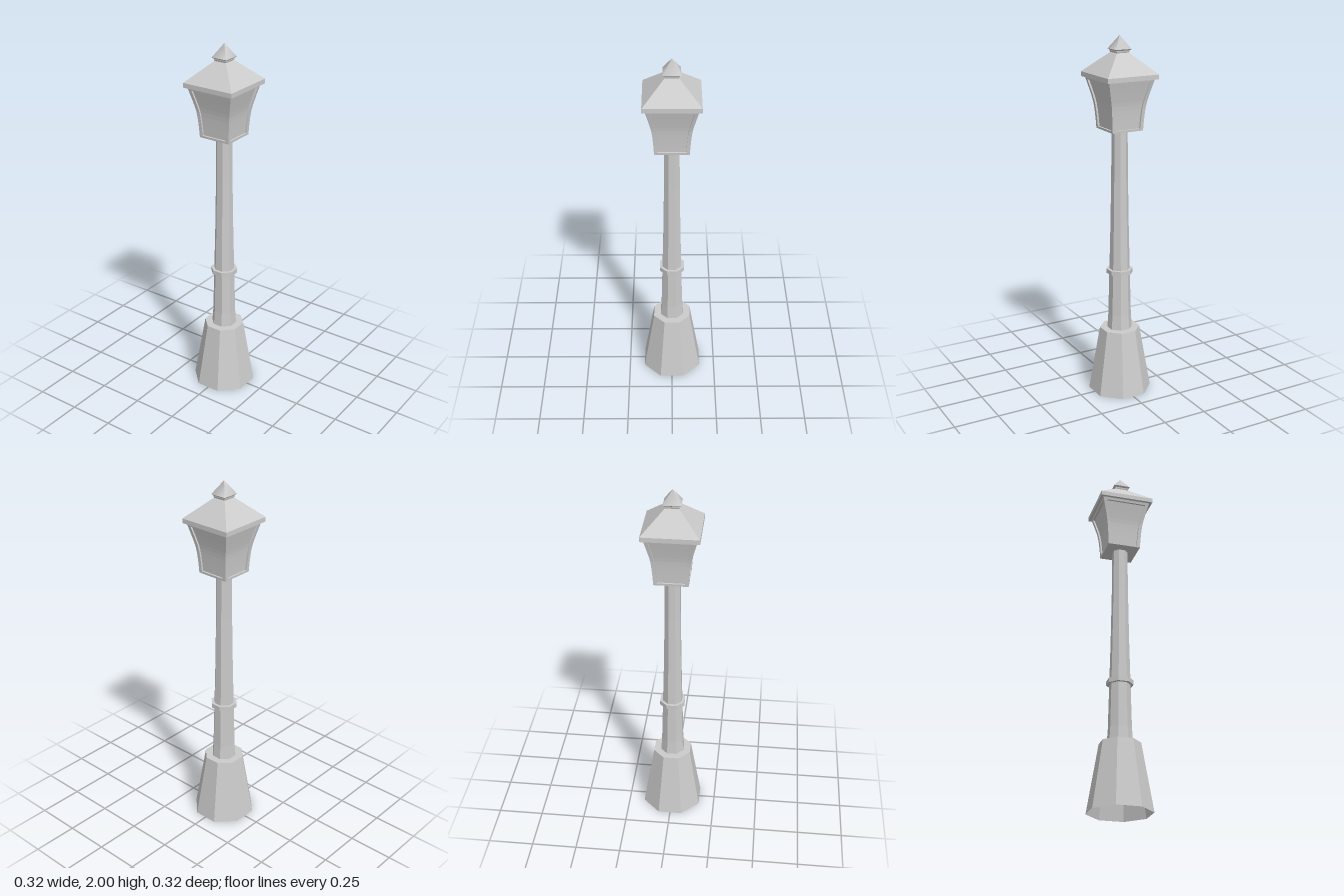
import * as THREE from 'three';

const flat = new THREE.MeshStandardMaterial({ color: 0xcccccc, flatShading: true });
const shell = new THREE.MeshStandardMaterial({ color: 0xcccccc, flatShading: true, side: THREE.DoubleSide });
const smooth = new THREE.MeshStandardMaterial({ color: 0xcccccc });

// Prism of n sides from [half width, height] pairs listed bottom to top, a flat side facing front
function prism(name, n, profile, material = flat) {
  const k = 1 / Math.cos(Math.PI / n);
  const points = profile.map(([w, y]) => new THREE.Vector2(w * k, y));
  const mesh = new THREE.Mesh(new THREE.LatheGeometry(points, n, Math.PI / n), material);
  mesh.name = name;
  return mesh;
}

// Flared side of the lantern: half width and height, bottom to top
const flare = new THREE.CatmullRomCurve3(
  [[0.091, 1.505], [0.096, 1.58], [0.103, 1.645], [0.115, 1.7], [0.135, 1.778]]
    .map(([w, y]) => new THREE.Vector3(w, y, 0))
).getPoints(10).map(p => [p.x, p.y]);

// Square bar following the flare along the +x +z corner
function cornerBar() {
  const g = new THREE.BoxGeometry(1, 1, 1, 1, flare.length - 1, 1);
  const pos = g.attributes.position;
  for (let i = 0; i < pos.count; i++) {
    const [w, y] = flare[Math.round((pos.getY(i) + 0.5) * (flare.length - 1))];
    const x = pos.getX(i) > 0 ? w : w - 0.019;
    const z = pos.getZ(i) > 0 ? w : w - 0.019;
    pos.setXYZ(i, x, y, z);
  }
  g.computeVertexNormals();
  return g;
}

export function createModel() {
  const model = new THREE.Group();
  model.name = 'streetLamp';

  // Hollow tapered foot with a ledge on top
  model.add(prism('base', 8, [[0.162, 0], [0.103, 0.37], [0.05, 0.37]], shell));

  // Slender eight-sided post and its collar
  model.add(prism('post', 8, [[0.064, 0.37], [0.059, 0.45], [0.053, 0.7], [0.047, 0.95], [0.042, 1.25], [0.04, 1.51]]));
  model.add(prism('collar', 8, [[0.05, 0.695], [0.068, 0.695], [0.068, 0.72], [0.05, 0.72]]));

  // Lantern: recessed panes inside a frame of bars and rails
  const lantern = new THREE.Group();
  lantern.name = 'lantern';
  lantern.add(prism('panes', 4, flare.map(([w, y]) => [w - 0.01, y])));
  const bar = cornerBar();
  for (let i = 0; i < 4; i++) {
    const mesh = new THREE.Mesh(bar, flat);
    mesh.name = 'cornerBar' + (i + 1);
    mesh.rotation.y = i * Math.PI / 2;
    lantern.add(mesh);
  }
  lantern.add(prism('bottomRail', 4, [[0, 1.504], [0.091, 1.504], [0.092, 1.516], [0.075, 1.516]]));
  lantern.add(prism('topRail', 4, [[0.115, 1.764], [0.1315, 1.764], [0.1355, 1.78]]));
  model.add(lantern);

  // Hipped roof with a square eave
  model.add(prism('roof', 4, [[0, 1.778], [0.15, 1.778], [0.15, 1.803], [0.034, 1.912]]));

  // Neck and pointed finial
  model.add(prism('neck', 4, [[0.034, 1.905], [0.038, 1.917], [0.038, 1.922], [0.046, 1.929]]));
  model.add(prism('finial', 4, [[0.046, 1.929], [0, 2]], smooth));

  return model;
}
